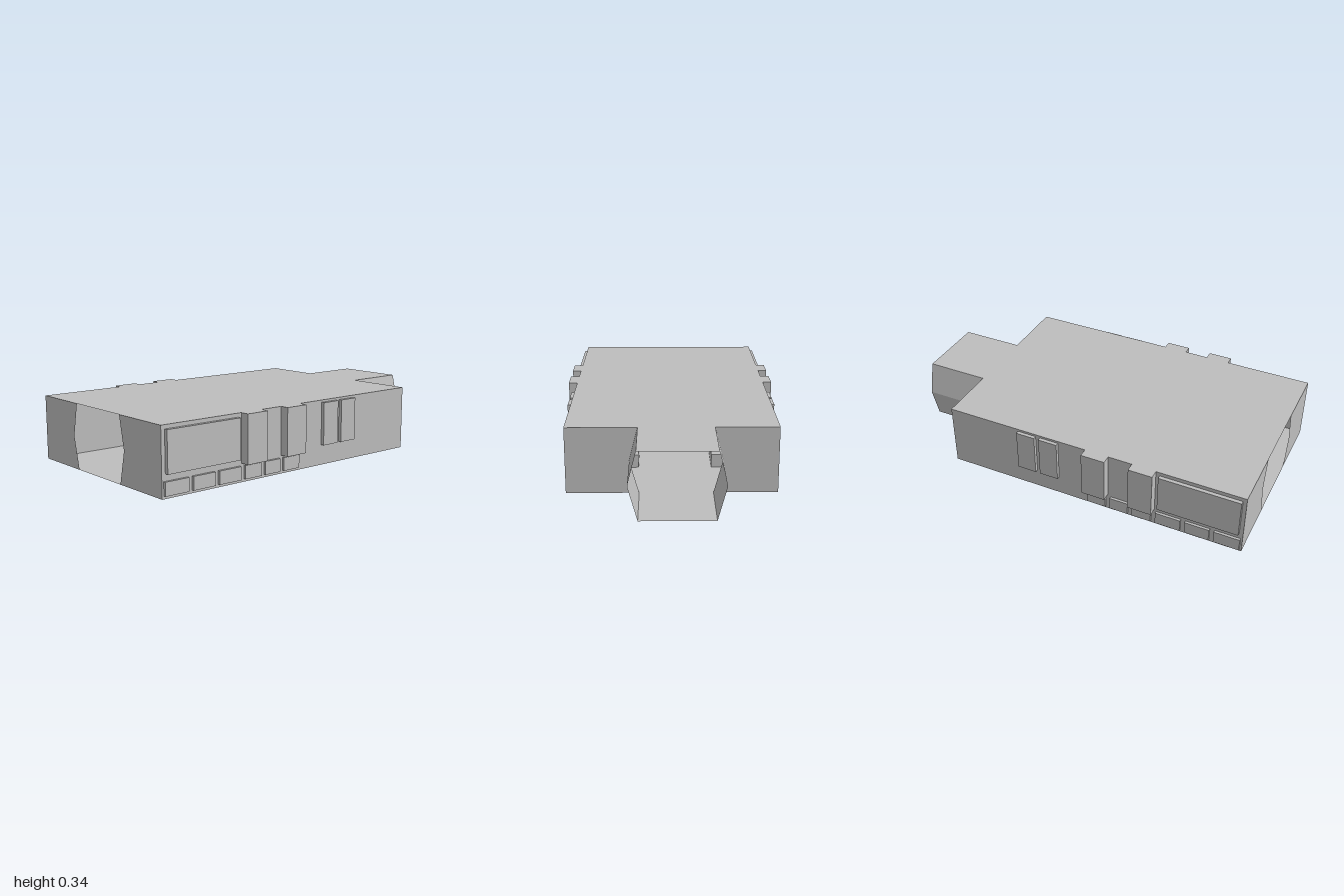
import * as THREE from 'three';

const H = 0.345;          // hull height
const W = 0.532;          // hull half width
const FRONT = 1, REAR = -0.66, TAIL = -1;

export function createModel() {
  const group = new THREE.Group();
  const hullGrey = new THREE.MeshStandardMaterial({ color: 0xbdbdbd, side: THREE.DoubleSide });
  hullGrey.name = 'hull grey';

  const add = (name, geometry, parent = group) => {
    const mesh = new THREE.Mesh(geometry, hullGrey);
    mesh.name = name;
    parent.add(mesh);
    return mesh;
  };

  const shapeOf = (pts) => new THREE.Shape(pts.map(([a, b]) => new THREE.Vector2(a, b)));
  const upright = (pts, z) => new THREE.ShapeGeometry(shapeOf(pts)).translate(0, 0, z);

  // Flat-shaded sheet between two matching lines of points
  const ribbon = (a, b) => {
    const pos = [];
    for (let i = 0; i < a.length - 1; i++) {
      pos.push(...a[i], ...b[i], ...b[i + 1], ...a[i], ...b[i + 1], ...a[i + 1]);
    }
    const g = new THREE.BufferGeometry();
    g.setAttribute('position', new THREE.Float32BufferAttribute(pos, 3));
    g.computeVertexNormals();
    return g;
  };

  // Roof and floor share a plan: wide hall with a narrow tail
  const plan = (l, r) => shapeOf([
    [-W, FRONT], [W, FRONT], [W, REAR], [r, REAR], [r, TAIL], [l, TAIL], [l, REAR], [-W, REAR],
  ]);
  add('roof', new THREE.ShapeGeometry(plan(-0.212, 0.17)).rotateX(-Math.PI / 2).scale(1, 1, -1).translate(0, H, 0));

  const stairs = [
    { x0: 0.175, x1: 0.49, z0: 0.14, z1: -0.31 },
    { x0: -0.53, x1: -0.215, z0: 0.14, z1: -0.31 },
  ];
  const floorPlan = plan(-0.207, 0.165);
  for (const { x0, x1, z0, z1 } of stairs) {
    floorPlan.holes.push(new THREE.Path([[x0, z0], [x0, z1], [x1, z1], [x1, z0]].map(([a, b]) => new THREE.Vector2(a, b))));
  }
  add('floor', new THREE.ShapeGeometry(floorPlan).rotateX(Math.PI / 2));

  // Side walls
  for (const x of [W, -W]) {
    add('sideWall', ribbon([[x, 0, FRONT], [x, H, FRONT]], [[x, 0, REAR], [x, H, REAR]]));
  }

  // End walls either side of the six-sided openings
  const opening = {
    front: { left: [-0.2, -0.24, -0.203], right: [0.185, 0.225, 0.19] },
    rear: { left: [-0.207, -0.253, -0.212], right: [0.165, 0.213, 0.17] },
  };
  for (const [end, z] of [['front', FRONT], ['rear', REAR]]) {
    for (const [side, x] of [['left', -W], ['right', W]]) {
      const e = opening[end][side];
      add(end + 'Wall', upright([[x, 0], [e[0], 0], [e[1], H / 2], [e[2], H], [x, H]], z));
    }
  }

  // Folded walls of the rear passage
  for (const side of ['left', 'right']) {
    const line = (z) => opening.rear[side].map((x, i) => [x, i * H / 2, z]);
    add('passageWall', ribbon(line(REAR), line(TAIL)));
  }

  // Hollow boarding stairs, open underneath
  for (const { x0, x1, z0, z1 } of stairs) {
    const unit = new THREE.Group();
    unit.name = 'stairs';
    group.add(unit);
    const profile = [[z0, 0]];
    [0.025, 0.05, 0.07].forEach((y, i, all) => {
      const z = z0 - i * 0.06;
      profile.push([z, y], [i === all.length - 1 ? z1 : z - 0.06, y]);
    });
    profile.push([z1, 0]);
    const at = (x) => profile.map(([z, y]) => [x, y, z]);
    add('steps', ribbon(at(x0), at(x1)), unit);
    for (const x of [x0, x1]) {
      add('stairSide', new THREE.ShapeGeometry(shapeOf(profile)).rotateY(-Math.PI / 2).translate(x, 0, 0), unit);
    }
  }

  // Raised side details: name, outer x, y range, list of z ranges
  const details = [
    ['largePanel', 0.552, 0.117, 0.325, [[0.55, 0.98]]],
    ['buttress', 0.58, 0.095, H, [[0.4, 0.53], [0.14, 0.27]]],
    ['tallPanel', 0.551, 0.107, 0.333, [[-0.12, -0.015], [-0.25, -0.145]]],
    ['lowerPanel', 0.546, 0.015, 0.083,
      [[0.855, 0.99], [0.7, 0.83], [0.54, 0.675], [0.41, 0.515], [0.285, 0.385], [0.155, 0.26]]],
  ];
  for (const s of [1, -1]) {
    for (const [name, outer, y0, y1, spans] of details) {
      for (const [z0, z1] of spans) {
        add(name, new THREE.BoxGeometry(outer - W, y1 - y0, z1 - z0))
          .position.set(s * (outer + W) / 2, (y0 + y1) / 2, (z0 + z1) / 2);
      }
    }
  }
  return group;
}
